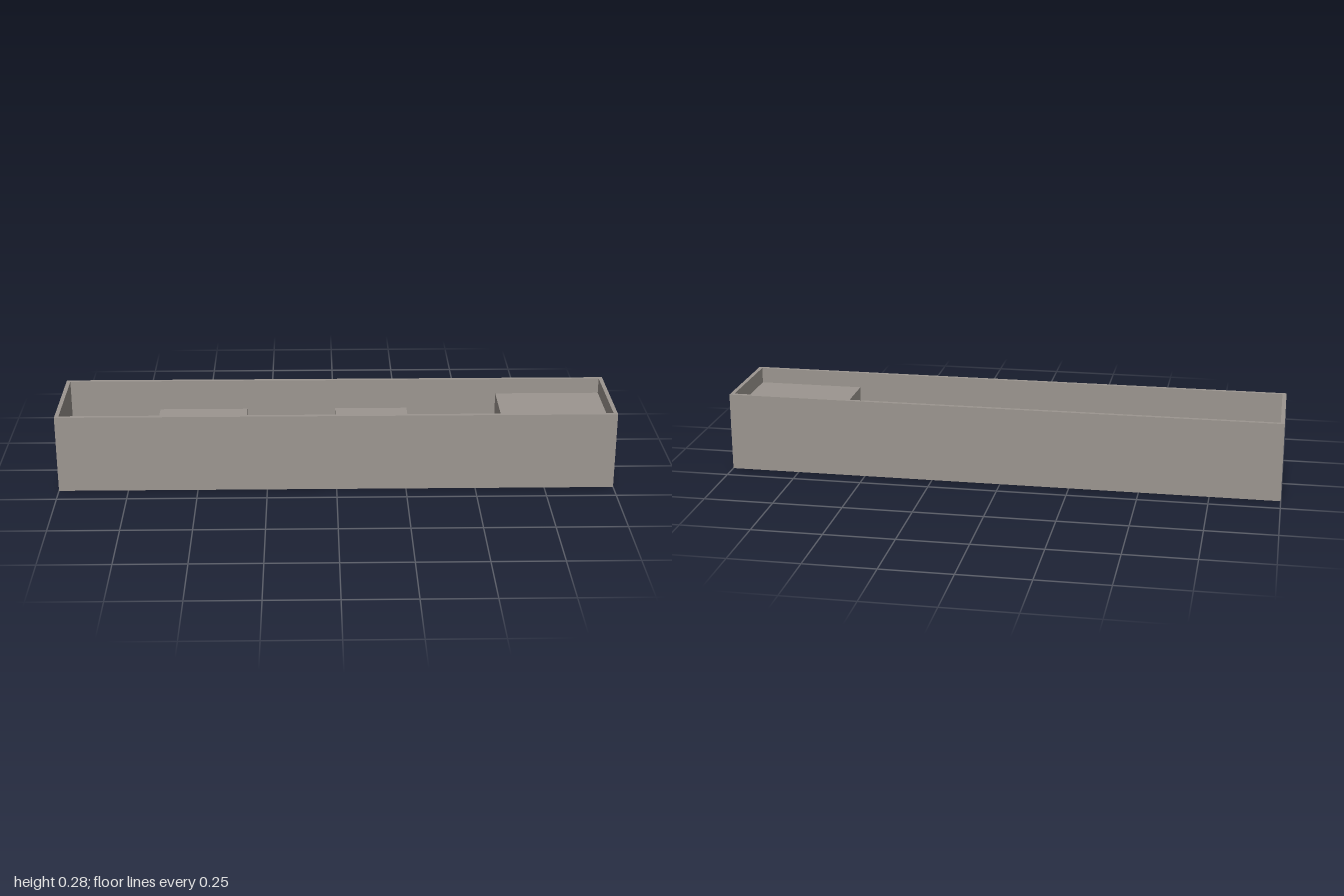
import * as THREE from 'three';

const LENGTH = 2, HEIGHT = 0.285, DEPTH = 0.36, WALL = 0.0145;

export function createModel() {
  const model = new THREE.Group();
  model.name = 'openTray';
  const stone = new THREE.MeshStandardMaterial({ color: 0x9c9690 });
  stone.name = 'warm grey';

  // Box given by its x, y and z ranges
  const addBox = (name, [x0, x1], [y0, y1], [z0, z1]) => {
    const mesh = new THREE.Mesh(new THREE.BoxGeometry(x1 - x0, y1 - y0, z1 - z0), stone);
    mesh.position.set((x0 + x1) / 2, (y0 + y1) / 2, (z0 + z1) / 2);
    mesh.name = name;
    model.add(mesh);
  };

  const rectangle = (target, w, d) => {
    target.moveTo(-w / 2, -d / 2);
    target.lineTo(w / 2, -d / 2);
    target.lineTo(w / 2, d / 2);
    target.lineTo(-w / 2, d / 2);
    target.closePath();
    return target;
  };

  // Floor slab
  addBox('floor', [-LENGTH / 2, LENGTH / 2], [0, WALL], [-DEPTH / 2, DEPTH / 2]);

  // Thin wall ring, open at the top
  const ring = rectangle(new THREE.Shape(), LENGTH, DEPTH);
  ring.holes.push(rectangle(new THREE.Path(), LENGTH - 2 * WALL, DEPTH - 2 * WALL));
  const wallGeometry = new THREE.ExtrudeGeometry(ring, { depth: HEIGHT - WALL, bevelEnabled: false });
  wallGeometry.rotateX(-Math.PI / 2);
  const walls = new THREE.Mesh(wallGeometry, stone);
  walls.position.y = WALL;
  walls.name = 'walls';
  model.add(walls);

  // Blocks standing on the floor inside
  const innerX = LENGTH / 2 - WALL, innerZ = DEPTH / 2 - WALL;
  const low = [WALL, 0.172], high = [WALL, 0.228];
  addBox('rightBlock', [-0.655, -0.33], low, [-innerZ, innerZ]);
  addBox('middleBlockBack', [0, 0.268], low, [-innerZ, -0.013]);
  addBox('middleBlockFront', [0, 0.268], low, [0.013, innerZ]);
  addBox('leftEndBlock', [0.6, innerX], high, [-innerZ, innerZ]);

  return model;
}
